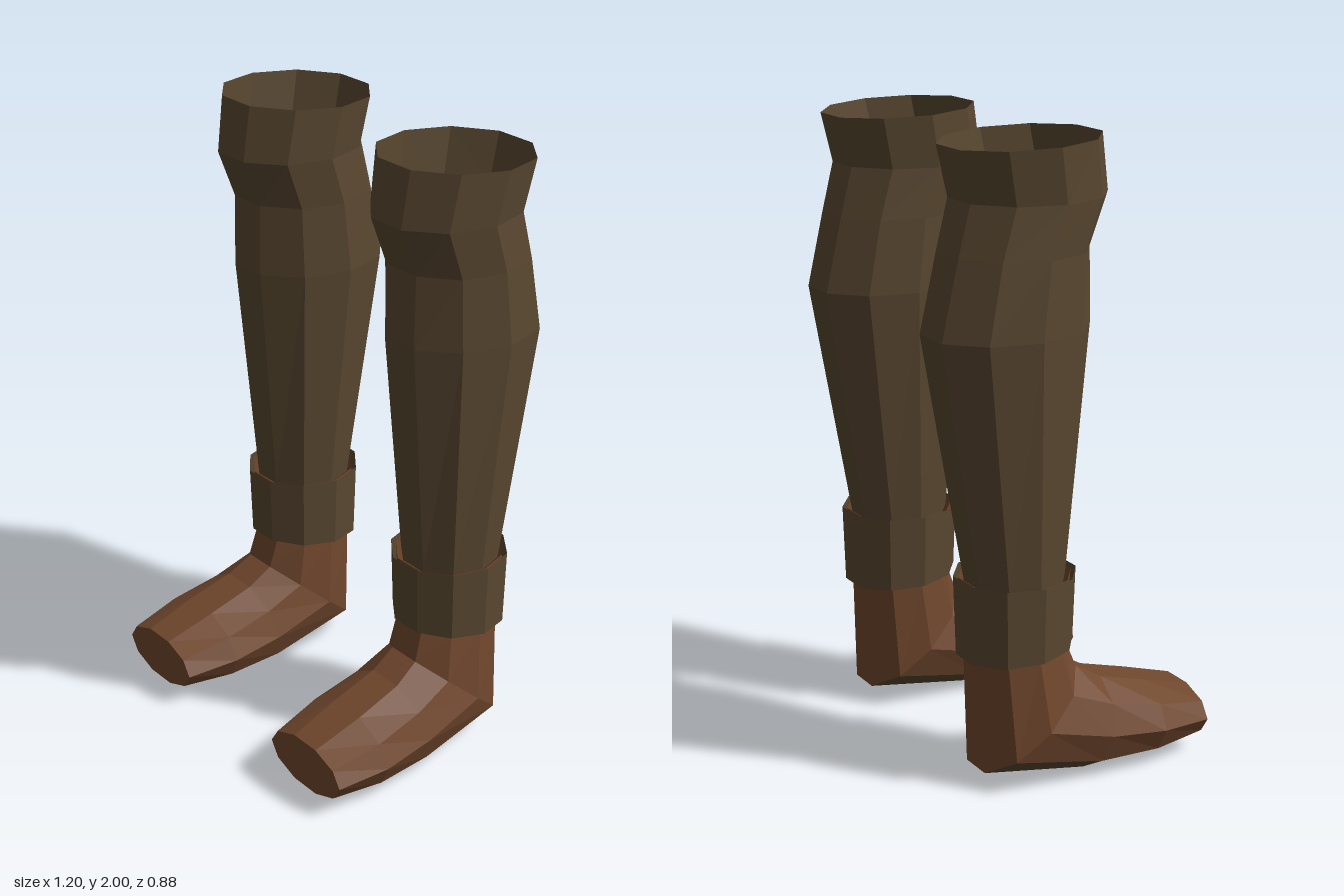
import * as THREE from 'three';

const SIDES = 10;

const cloth = new THREE.MeshStandardMaterial({ color: 0x5a4831, flatShading: true, side: THREE.DoubleSide });
cloth.name = 'olive cloth';
const leather = new THREE.MeshStandardMaterial({ color: 0x70472d, flatShading: true, side: THREE.DoubleSide });
leather.name = 'brown leather';

// Ten-sided cross-section between a front point and a back point, each [y, z]
function ring([cx, halfWidth, front, back]) {
  const points = [];
  for (let i = 0; i < SIDES; i++) {
    const a = (i / SIDES) * Math.PI * 2;
    const t = 0.5 + 0.5 * Math.sin(a) / Math.sin(Math.PI * 0.4);
    points.push([
      cx + halfWidth * Math.cos(a),
      back[0] + (front[0] - back[0]) * t,
      back[1] + (front[1] - back[1]) * t,
    ]);
  }
  return points;
}

// Skin a chosen set of strips through successive sections; optionally close the end
function loft(name, sections, material, strips = [...Array(SIDES).keys()], capped = false) {
  const rings = sections.map(ring);
  const pos = [];
  const tri = (a, b, c) => pos.push(...a, ...b, ...c);
  for (let r = 0; r < rings.length - 1; r++) {
    for (const i of strips) {
      const j = (i + 1) % SIDES;
      tri(rings[r][i], rings[r][j], rings[r + 1][j]);
      tri(rings[r][i], rings[r + 1][j], rings[r + 1][i]);
    }
  }
  if (capped) {
    const end = rings[rings.length - 1];
    for (let i = 1; i < SIDES - 1; i++) tri(end[0], end[i], end[i + 1]);
  }
  const geo = new THREE.BufferGeometry();
  geo.setAttribute('position', new THREE.Float32BufferAttribute(pos, 3));
  geo.computeVertexNormals();
  const mesh = new THREE.Mesh(geo, material);
  mesh.name = name;
  return mesh;
}

function createBoot(name, side) {
  const boot = new THREE.Group();
  boot.name = name;
  const place = (sections) => sections.map(([x, ...rest]) => [x * side, ...rest]);

  // Open legging with knee flare and calf bulge
  boot.add(loft('legging', place([
    [0.372, 0.228, [2.0, 0.09], [1.98, -0.38]],
    [0.37, 0.214, [1.825, 0.115], [1.825, -0.345]],
    [0.37, 0.212, [1.67, 0.055], [1.67, -0.385]],
    [0.371, 0.214, [1.44, 0.058], [1.435, -0.44]],
    [0.374, 0.154, [0.66, -0.01], [0.66, -0.31]],
  ]), cloth));

  // Ankle cuff
  boot.add(loft('cuff', place([
    [0.373, 0.183, [0.678, 0.023], [0.678, -0.342]],
    [0.374, 0.176, [0.452, 0.015], [0.425, -0.335]],
  ]), cloth));

  // Shaft and foot share the heel section
  const heel = [0.378, 0.178, [0.35, 0.025], [0.065, -0.3]];
  boot.add(loft('bootShaft', place([
    [0.373, 0.168, [0.672, 0.008], [0.672, -0.327]],
    [0.373, 0.155, [0.44, -0.008], [0.42, -0.312]],
    heel,
  ]), leather));

  const foot = place([
    heel,
    [0.386, 0.188, [0.3, 0.11], [0.005, 0.05]],
    [0.392, 0.197, [0.255, 0.27], [0.015, 0.26]],
    [0.395, 0.17, [0.205, 0.44], [0.042, 0.44]],
  ]);
  boot.add(loft('footUpper', foot, leather, [0, 1, 2, 3, 4, 5, 9], true));
  boot.add(loft('sole', foot, cloth, [6, 7, 8]));
  return boot;
}

export function createModel() {
  const model = new THREE.Group();
  model.name = 'boots';
  model.add(createBoot('leftBoot', 1), createBoot('rightBoot', -1));
  return model;
}
